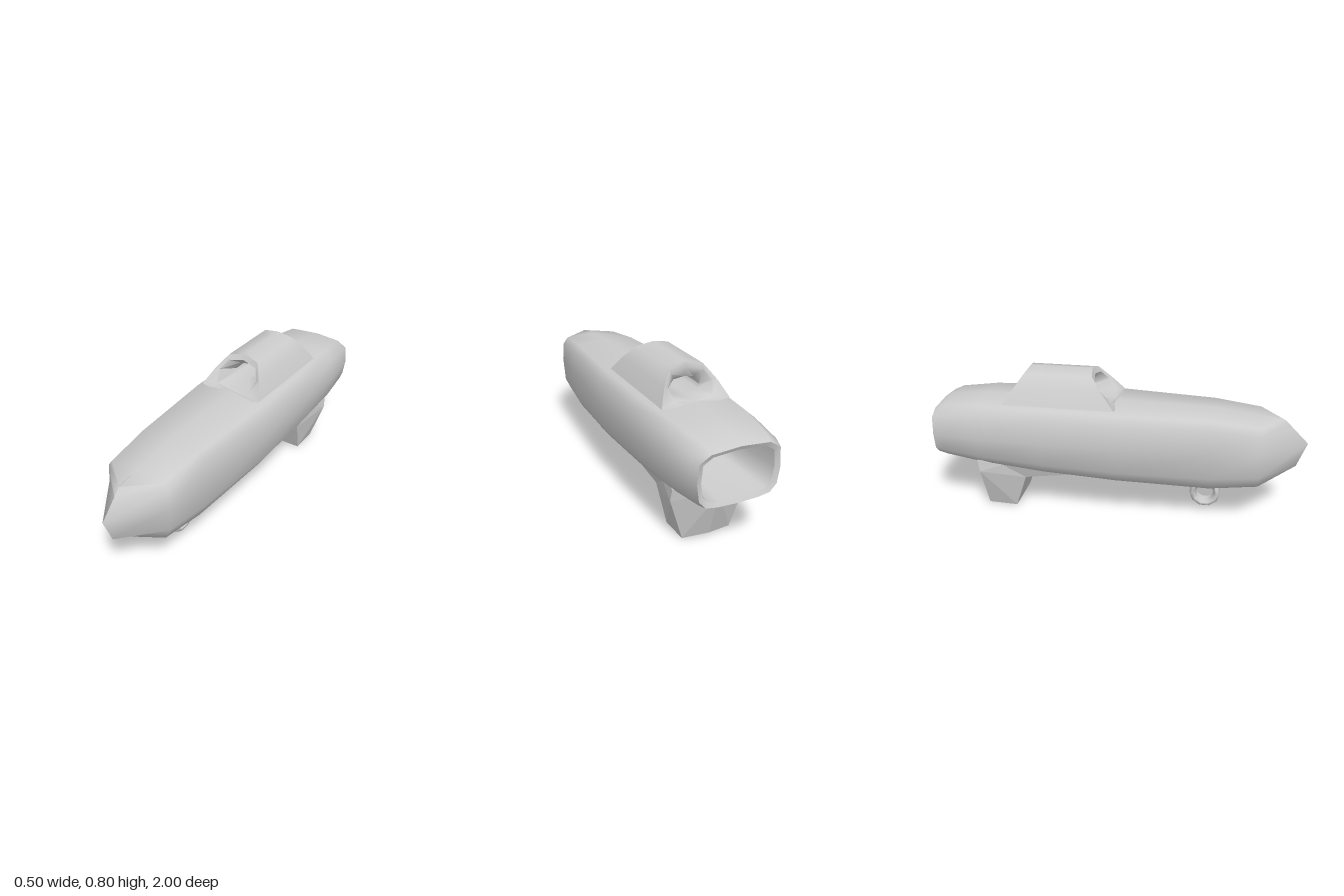
import * as THREE from 'three';
import { toCreasedNormals } from 'three/addons/utils/BufferGeometryUtils.js';
import { ConvexGeometry } from 'three/addons/geometries/ConvexGeometry.js';

const material = new THREE.MeshStandardMaterial({ color: 0xcccccc, side: THREE.DoubleSide });

// Skin a list of closed rings that all have the same number of [x, y, z] points
function loft(rings, crease) {
  const n = rings[0].length, index = [];
  for (let i = 0; i < rings.length - 1; i++) {
    for (let j = 0; j < n; j++) {
      const a = i * n + j, b = i * n + (j + 1) % n;
      index.push(a, b, a + n, b, b + n, a + n);
    }
  }
  const geo = new THREE.BufferGeometry();
  geo.setAttribute('position', new THREE.Float32BufferAttribute(rings.flat(2), 3));
  geo.setIndex(index);
  return toCreasedNormals(geo, crease);
}

// Complete a right-hand half ring (top centre to bottom centre) by mirroring
function mirrorRing(half) {
  const other = half.slice(1, -1).reverse().map(([x, y, z]) => [-x, y, z]);
  return [...half, ...other];
}

// Rounded hull section: half width w, top yt, bottom yb, corner fullness k
function section(z, w, yt, yb, k = 0.82) {
  const mid = 0.445, up = yt - mid, down = mid - yb;
  return mirrorRing([
    [0, yt, z], [k * w, mid + 0.92 * up, z], [0.96 * w, mid + 0.68 * up, z], [w, mid, z],
    [0.94 * w, mid - 0.62 * down, z], [0.78 * w, mid - 0.9 * down, z],
    [0.5 * w, yb + 0.004, z], [0, yb, z],
  ]);
}

export function createModel() {
  const group = new THREE.Group();
  const add = (name, geo) => {
    const mesh = new THREE.Mesh(geo, material);
    mesh.name = name;
    group.add(mesh);
    return mesh;
  };

  // Hull, closing at the front on a curved vertical edge
  const keel = mirrorRing([
    [0, 0.575, 0.87], [0, 0.57, 0.875], [0, 0.535, 0.91], [0, 0.445, 1],
    [0, 0.31, 0.95], [0, 0.245, 0.84], [0, 0.235, 0.82], [0, 0.235, 0.82],
  ]);
  const tail = section(-1, 0.21, 0.585, 0.31, 0.7);
  add('hull', loft([
    keel,
    section(0.75, 0.188, 0.59, 0.222),
    section(0.5, 0.21, 0.62, 0.195),
    section(0, 0.248, 0.632, 0.218),
    section(-0.4, 0.248, 0.634, 0.24),
    section(-0.75, 0.242, 0.63, 0.275, 0.75),
    section(-0.95, 0.22, 0.61, 0.3, 0.7),
    tail,
  ], 1.1));

  // Hollow rear opening with a thin rim
  add('rearNozzle', loft([
    tail,
    section(-0.99, 0.185, 0.565, 0.33, 0.7),
    section(-0.8, 0.165, 0.55, 0.345, 0.7),
    section(-0.5, 0.1, 0.51, 0.385, 0.7),
    section(-0.5, 0, 0.445, 0.445),
  ], 0.8));

  // Arched duct on top with slanted mouths, open from end to end
  const outer = [[0, 0.8], [0.09, 0.78], [0.14, 0.71], [0.18, 0.63], [0, 0.6]];
  const inner = [[0, 0.77], [0.085, 0.753], [0.118, 0.705], [0.1, 0.65], [0, 0.637]];
  const throat = [[0, 0.72], [0.055, 0.712], [0.085, 0.668], [0.075, 0.647], [0, 0.636]];
  const front = (y) => -0.01 - 0.85 * Math.max(0, y - 0.63);
  const back = (y) => -0.61 + 0.7 * Math.max(0, y - 0.63);
  const ductRing = (pts, zOf) => mirrorRing(pts.map(([x, y]) => [x, y, zOf(y)]));
  const lip = ductRing(outer, front);
  add('topDuct', loft([
    lip,
    ductRing(outer, (y) => front(y) - 0.05),
    ductRing(outer, (y) => back(y) + 0.05),
    ductRing(outer, back),
    ductRing(inner, (y) => back(y) + 0.01),
    ductRing(throat, () => -0.48),
    ductRing(throat, () => -0.2),
    ductRing(inner, (y) => front(y) - 0.01),
    lip,
  ], 1.0));

  // Front ring under the nose, with its axis across the hull
  const ringProfile = [
    [0.05, -0.025], [0.06, -0.04], [0.072, -0.042], [0.084, -0.026],
    [0.084, 0.026], [0.072, 0.042], [0.06, 0.04], [0.05, 0.025], [0.05, -0.025],
  ].map(([r, x]) => new THREE.Vector2(r, x));
  const ring = add('frontRing', new THREE.LatheGeometry(ringProfile, 10));
  ring.rotation.z = Math.PI / 2;
  ring.position.set(0, 0.117, 0.475);

  // Flared root that joins the ring to the hull
  const root = add('ringRoot', new THREE.CylinderGeometry(0.1, 0.068, 0.04, 10, 1, true));
  root.scale.x = 0.65;
  root.position.set(0, 0.188, 0.475);

  // Rear fin block: tapered sides, angled rear face, top buried in the hull
  const solid = (name, half) => add(name, new ConvexGeometry(
    half.flatMap(([x, y, z]) => (x ? [[x, y, z], [-x, y, z]] : [[x, y, z]]))
      .map((p) => new THREE.Vector3(...p))));
  solid('rearFin', [
    [0.155, 0.195, -0.51], [0.13, 0, -0.58], [0.13, 0.005, -0.74], [0, 0.018, -0.77],
    [0.205, 0.235, -0.755], [0.2, 0.3, -0.765], [0, 0.21, -0.785], [0, 0.275, -0.85],
    [0.16, 0.31, -0.52],
  ]);

  // Wedge that fairs the fin forward into the belly
  solid('finFairing', [
    [0.155, 0.195, -0.515], [0.165, 0.24, -0.24], [0.17, 0.29, -0.3],
    [0.19, 0.3, -0.7], [0.155, 0.2, -0.7],
  ]);

  return group;
}
